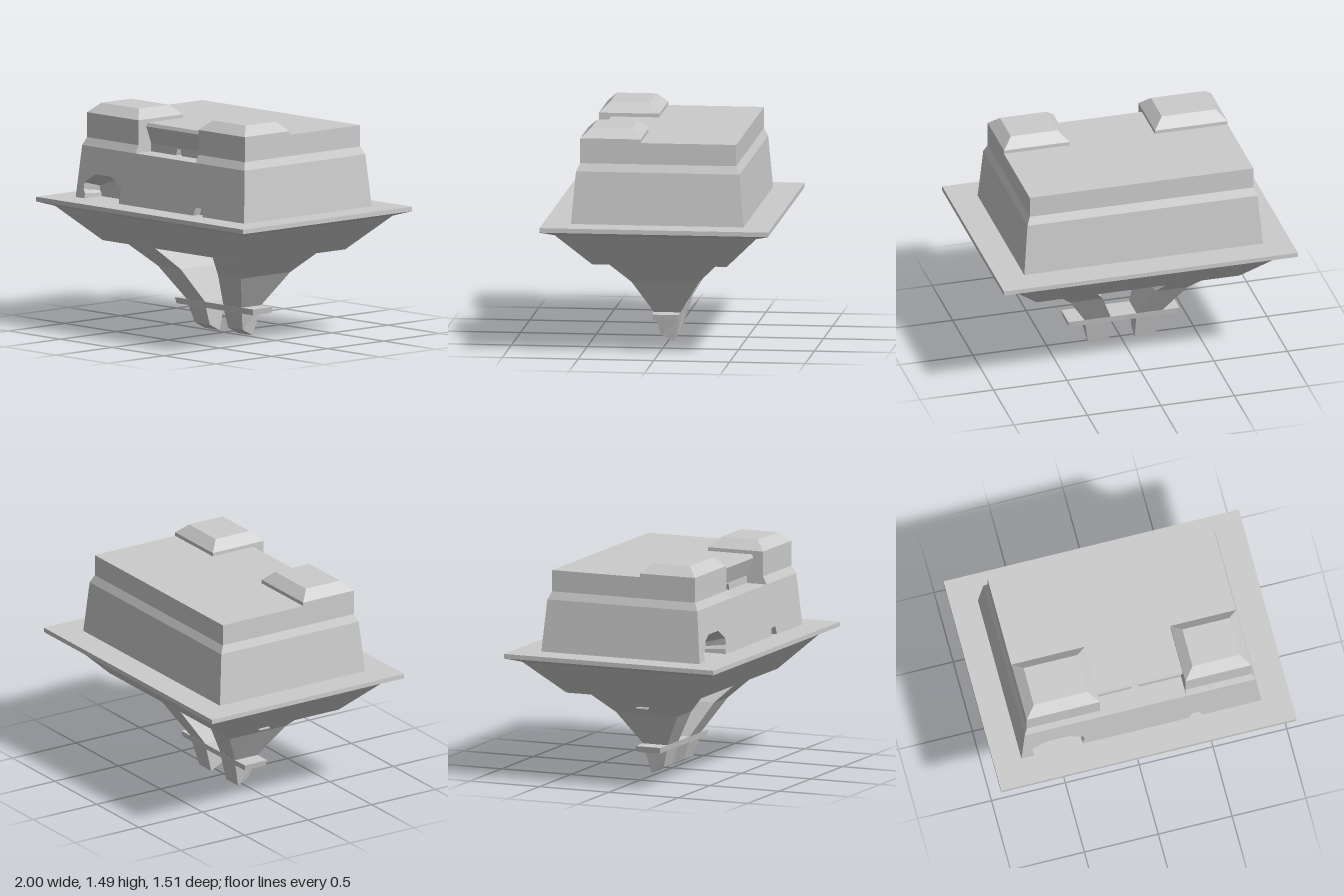
import * as THREE from 'three';

const material = new THREE.MeshStandardMaterial({ color: 0xcccccc, flatShading: true, side: THREE.DoubleSide });

function meshFrom(name, positions) {
  const geometry = new THREE.BufferGeometry();
  geometry.setAttribute('position', new THREE.Float32BufferAttribute(positions, 3));
  geometry.computeVertexNormals();
  const mesh = new THREE.Mesh(geometry, material);
  mesh.name = name;
  return mesh;
}

// Rectangular section, counter-clockwise from above; back corners may sit at another height
const rect = (y, x0, x1, z0, z1, yBack = y) => [[x0, y, z1], [x1, y, z1], [x1, yBack, z0], [x0, yBack, z0]];

// Solid through horizontal sections, with capped ends; skip(layer, edge) leaves a side open
function loft(name, rings, skip = () => false) {
  const out = [];
  const n = rings[0].length;
  for (let k = 0; k < rings.length - 1; k++) {
    for (let i = 0; i < n; i++) {
      if (skip(k, i)) continue;
      const j = (i + 1) % n, a = rings[k], b = rings[k + 1];
      out.push(...a[i], ...a[j], ...b[j], ...a[i], ...b[j], ...b[i]);
    }
  }
  const cap = (ring, flip) => {
    const flat = ring.map(([x, , z]) => new THREE.Vector2(x, -z));
    for (const [a, b, c] of THREE.ShapeUtils.triangulateShape(flat, [])) {
      out.push(...ring[a], ...ring[flip ? c : b], ...ring[flip ? b : c]);
    }
  };
  cap(rings[0], true);
  cap(rings[rings.length - 1], false);
  return meshFrom(name, out);
}

// Front wall whose lower edge is cut by recessed openings
function wallWithOpenings(name, bottom, top, zAt, openings) {
  const group = new THREE.Group();
  group.name = name;
  const face = (label, pts, zOf) => {
    const geometry = new THREE.ShapeGeometry(new THREE.Shape(pts.map(([x, y]) => new THREE.Vector2(x, y))));
    const p = geometry.attributes.position;
    for (let i = 0; i < p.count; i++) p.setZ(i, zOf(p.getY(i)));
    geometry.computeVertexNormals();
    const mesh = new THREE.Mesh(geometry, material);
    mesh.name = label;
    group.add(mesh);
  };
  const [[xl, y0], [xr]] = bottom;
  face('wallFace', [[xl, y0], ...openings.flatMap(o => o.points), [xr, y0], ...top], zAt);
  for (const { label, points, depth, squash } of openings) {
    const zBack = zAt(y0) - depth;
    const inner = points.map(([x, y]) => [x, y0 + (y - y0) * squash]);
    const sides = [];
    for (let i = 0; i < points.length - 1; i++) {
      const a = [...points[i], zAt(points[i][1])], b = [...points[i + 1], zAt(points[i + 1][1])];
      const c = [...inner[i + 1], zBack], d = [...inner[i], zBack];
      sides.push(...a, ...d, ...c, ...a, ...c, ...b);
    }
    group.add(meshFrom(label + 'Reveal', sides));
    face(label + 'Back', inner.slice().reverse(), () => zBack);
  }
  return group;
}

export function createModel() {
  const model = new THREE.Group();

  // Wide platform with a tapered underside
  model.add(loft('platform', [
    rect(0.58, -0.69, 0.69, -0.445, 0.445),
    rect(0.805, -0.91, 0.91, -0.665, 0.665),
    rect(0.835, -1, 1, -0.755, 0.755),
    rect(0.865, -1, 1, -0.755, 0.755),
  ]));

  // Lower storey, its front side left open for the wall with openings
  model.add(loft('lowerBody', [
    rect(0.865, -0.815, 0.81, -0.57, 0.57),
    rect(1.21, -0.785, 0.78, -0.54, 0.54),
  ], (k, i) => i === 0));

  model.add(wallWithOpenings('frontWall',
    [[-0.815, 0.865], [0.81, 0.865]], [[0.78, 1.21], [-0.785, 1.21]],
    y => 0.57 - (y - 0.865) * 0.087,
    [
      { label: 'archway', depth: 0.15, squash: 0.65, points: [
        [-0.73, 0.865], [-0.73, 0.9], [-0.745, 0.925], [-0.74, 0.97], [-0.64, 1.033],
        [-0.49, 1.033], [-0.39, 0.97], [-0.385, 0.925], [-0.4, 0.9], [-0.4, 0.865]] },
      { label: 'smallDoor', depth: 0.06, squash: 1, points: [
        [0.32, 0.865], [0.337, 0.92], [0.393, 0.92], [0.408, 0.865]] },
    ]));

  // Upper storey with a balcony notch between the front towers
  const upper = (y, x0, x1, z, notch) => [
    [x0, y, z], [-0.27, y, z], [-0.27, y, notch], [0.31, y, notch],
    [0.31, y, z], [x1, y, z], [x1, y, -z], [x0, y, -z]];
  model.add(loft('upperBody', [
    upper(1.21, -0.785, 0.78, 0.54, 0.4),
    upper(1.262, -0.765, 0.757, 0.515, 0.4),
    upper(1.38, -0.765, 0.757, 0.515, 0.445),
    upper(1.403, -0.765, 0.757, 0.515, 0.435),
  ], (k, i) => k === 0 && i === 2));
  model.add(wallWithOpenings('balconyWall',
    [[-0.27, 1.21], [0.31, 1.21]], [[0.31, 1.262], [-0.27, 1.262]], () => 0.4,
    [{ label: 'balconyDoor', depth: 0.04, squash: 1, points: [
      [-0.03, 1.21], [-0.018, 1.253], [0.015, 1.253], [0.027, 1.21]] }]));

  // Bevelled tower roofs
  for (const [name, x0, x1] of [['rightTowerRoof', -0.765, -0.27], ['leftTowerRoof', 0.31, 0.757]]) {
    model.add(loft(name, [
      rect(1.4, x0, x1, 0.117, 0.515),
      rect(1.427, x0, x1, 0.117, 0.515),
      rect(1.49, x0 + 0.065, x1 - 0.065, 0.182, 0.448),
    ]));
  }

  // Two splayed legs with slanted feet: [y, inner x, outer x, half depth]
  const legSections = [
    [0.16, 0.088, 0.257, 0.08], [0.2, 0.088, 0.265, 0.087], [0.42, 0.18, 0.4, 0.22],
    [0.558, 0.275, 0.533, 0.355], [0.585, 0.29, 0.533, 0.355]];
  for (const [name, side] of [['rightLeg', -1], ['leftLeg', 1]]) {
    const section = (y, a, b, z0, z1, yBack) =>
      rect(y, Math.min(side * a, side * b), Math.max(side * a, side * b), z0, z1, yBack);
    model.add(loft(name, [
      section(0.045, 0.088, 0.23, -0.042, 0.045, 0),
      ...legSections.map(([y, a, b, z]) => section(y, a, b, -z, z)),
    ]));
  }

  // Crossbar joining the legs
  model.add(loft('crossbar', [
    rect(0.16, -0.37, 0.368, -0.08, 0.08),
    rect(0.2, -0.38, 0.376, -0.088, 0.088),
  ]));

  // Thin ledge on the right leg
  const ledge = new THREE.Mesh(new THREE.BoxGeometry(0.04, 0.008, 0.08), material);
  ledge.name = 'legLedge';
  ledge.position.set(-0.465, 0.473, 0);
  model.add(ledge);

  return model;
}
